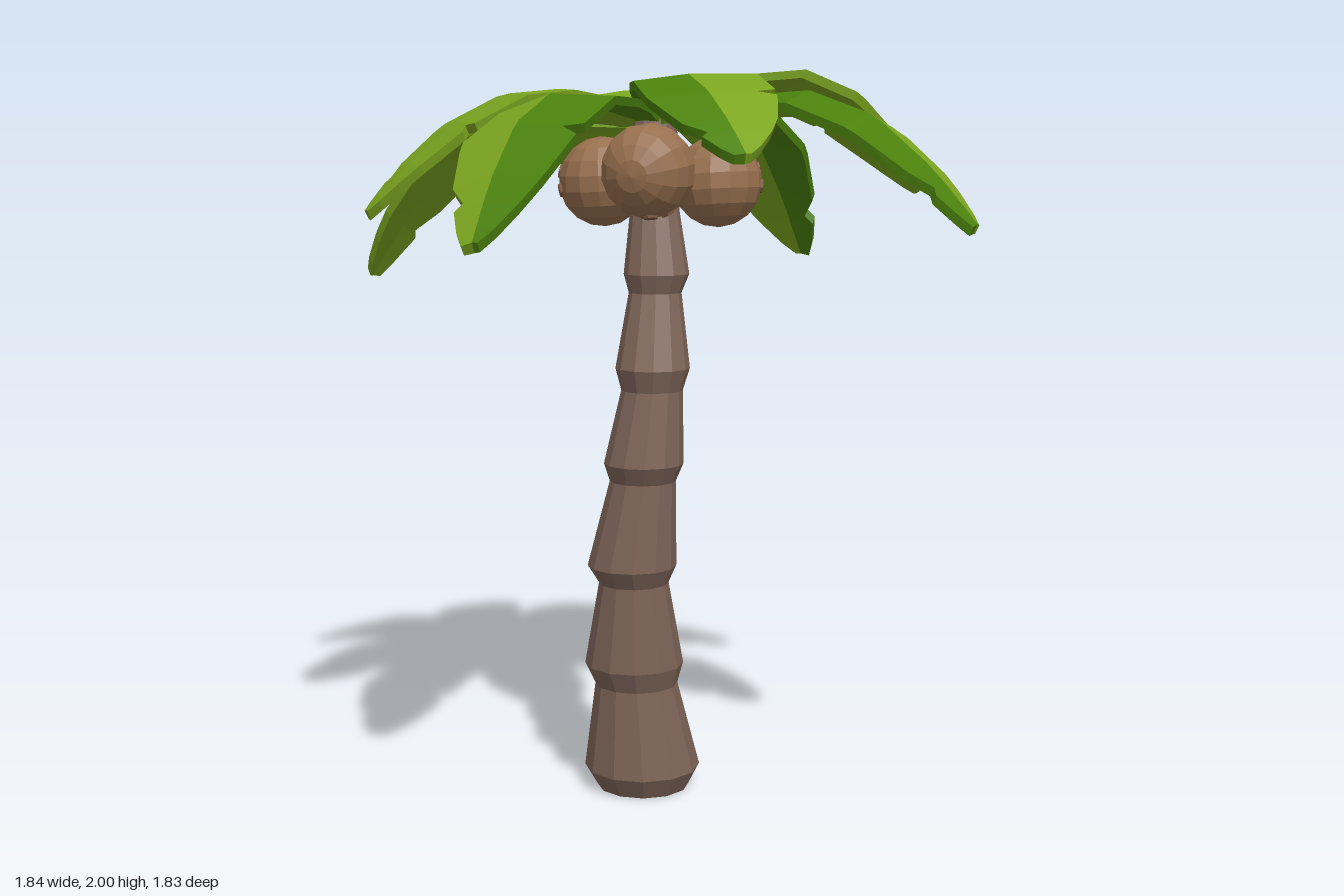
import * as THREE from 'three';

const mat = (name, color) => {
  const m = new THREE.MeshStandardMaterial({ color, flatShading: true });
  m.name = name;
  return m;
};

// Leaf outline: [fraction of length, left half-width, right half-width]; the left edge has torn notches
const OUTLINE = [
  [0, 0.04, 0.04], [0.1, 0.07, 0.06], [0.2, 0.12, 0.09], [0.33, 0.165, 0.125], [0.5, 0.19, 0.15],
  [0.68, 0.185, 0.16], [0.695, 0.13, 0.158], [0.72, 0.178, 0.153], [0.85, 0.135, 0.115],
  [0.9, 0.105, 0.065], [0.915, 0.095, 0.085], [0.97, 0.05, 0.055], [1, 0.015, 0.03],
];

// Height along a leaf: rises to the peak at the crest, then falls to the tip
function leafHeight(f, peak, tip, crest) {
  const base = 1.87;
  if (f < crest) {
    const k = 1 - f / crest;
    return base + (peak - base) * (1 - k * k);
  }
  return peak + (tip - peak) * Math.pow((f - crest) / (1 - crest), 1.7);
}

// One half of a leaf as a thin closed shell; side = 1 is right, -1 is left.
// fold lowers both edges, roll lowers the right edge and lifts the left,
// bow and tipShift move the midrib sideways
function leafHalf(side, { length, width = 1, peak, tip, crest, fold, roll = 0, bow = 0, tipShift = 0 }) {
  const pos = [];
  const quad = (a, b, c, d) => {
    const q = side > 0 ? [a, b, c, d] : [a, d, c, b];
    for (const i of [0, 1, 2, 0, 2, 3]) pos.push(...q[i]);
  };
  const rows = OUTLINE.map(([f, l, r]) => {
    const w = (side > 0 ? r : l) * width;
    const u = f * length;
    const y = leafHeight(f, peak, tip, crest);
    const mid = bow * Math.sin(Math.PI * f) + tipShift * f * f;
    const drop = w * (fold + side * roll);
    return {
      ridge: [u, y, mid], edge: [u, y - drop, mid + side * w],
      ridgeLow: [u - 0.01, y - 0.025, mid], edgeLow: [u - 0.01, y - drop - 0.022, mid + side * w * 0.97],
    };
  });
  for (let i = 0; i < rows.length - 1; i++) {
    const a = rows[i], b = rows[i + 1];
    quad(a.ridge, a.edge, b.edge, b.ridge);
    quad(a.ridgeLow, b.ridgeLow, b.edgeLow, a.edgeLow);
    quad(a.edge, a.edgeLow, b.edgeLow, b.edge);
  }
  const s = rows[0], e = rows[rows.length - 1];
  quad(s.ridge, s.ridgeLow, s.edgeLow, s.edge);
  quad(e.ridge, e.edge, e.edgeLow, e.ridgeLow);
  const g = new THREE.BufferGeometry();
  g.setAttribute('position', new THREE.Float32BufferAttribute(pos, 3));
  g.computeVertexNormals();
  return g;
}

// Trunk rings from the ground up: [y, centre x, centre z, radius]
const RINGS = [
  [0, -0.03, 0.005, 0.13], [0.06, -0.03, 0.01, 0.162],
  [0.31, -0.027, 0.048, 0.115], [0.37, -0.03, 0.055, 0.137],
  [0.61, -0.01, 0.092, 0.096], [0.66, -0.012, 0.098, 0.122],
  [0.9, 0.025, 0.103, 0.09], [0.95, 0.032, 0.11, 0.108],
  [1.15, 0.052, 0.1, 0.083], [1.21, 0.055, 0.102, 0.1],
  [1.41, 0.045, 0.07, 0.071], [1.46, 0.048, 0.068, 0.088],
  [1.63, 0.03, 0.045, 0.066], [1.87, 0.01, 0.01, 0.06],
];

function trunkGeometry() {
  const n = RINGS.length - 1;
  const g = new THREE.CylinderGeometry(1, 1, 1, 12, n);
  const p = g.attributes.position;
  for (let i = 0; i < p.count; i++) {
    const [y, cx, cz, r] = RINGS[Math.round((p.getY(i) + 0.5) * n)];
    p.setXYZ(i, cx + p.getX(i) * r, y, cz + p.getZ(i) * r);
  }
  g.computeVertexNormals();
  return g;
}

export function createModel() {
  const model = new THREE.Group();
  model.name = 'palmTree';
  const bark = mat('bark', 0x80665a);
  const shell = mat('coconutShell', 0x98704f);
  const eyeMat = mat('coconutEyes', 0x7f5c42);
  const light = mat('lightLeaf', 0x7ba520);
  const dark = mat('darkLeaf', 0x4b810d);

  const add = (parent, name, geometry, material) => {
    const mesh = new THREE.Mesh(geometry, material);
    mesh.name = name;
    parent.add(mesh);
    return mesh;
  };

  add(model, 'trunk', trunkGeometry(), bark);

  // Four long folded leaves and four shorter, flatter ones between them
  const leaves = [
    { angle: 0, length: 0.92, peak: 1.94, tip: 1.61, crest: 0.5, fold: 0.22, tipShift: 0.01, left: light, right: dark },
    { angle: 42, length: 0.765, width: 0.97, peak: 1.98, tip: 1.69, crest: 0.47, fold: 0.06, roll: -0.2, left: light, right: light },
    { angle: 90, length: 0.915, peak: 1.94, tip: 1.485, crest: 0.48, fold: 0.3, bow: -0.01, tipShift: 0.03, left: light, right: dark },
    { angle: 133, length: 0.765, width: 0.95, peak: 1.955, tip: 1.67, crest: 0.43, fold: 0.06, roll: -0.1, bow: -0.025, tipShift: 0.01, left: light, right: light },
    { angle: 180, length: 0.92, peak: 1.915, tip: 1.445, crest: 0.48, fold: 0.25, bow: 0.04, tipShift: -0.05, left: light, right: light },
    { angle: 228, length: 0.78, width: 0.95, peak: 1.95, tip: 1.635, crest: 0.4, fold: 0.04, bow: 0.02, left: light, right: light },
    { angle: 270, length: 0.91, peak: 1.93, tip: 1.585, crest: 0.48, fold: 0.18, roll: 0.14, bow: 0.05, tipShift: -0.03, left: dark, right: light },
    { angle: 315, length: 0.77, width: 0.95, peak: 1.98, tip: 1.785, crest: 0.45, fold: 0.06, roll: 0.07, bow: 0.02, left: light, right: dark },
  ];
  for (const spec of leaves) {
    const leaf = new THREE.Group();
    leaf.name = 'leaf';
    leaf.rotation.y = THREE.MathUtils.degToRad(spec.angle);
    add(leaf, 'leafLeftHalf', leafHalf(-1, spec), spec.left);
    add(leaf, 'leafRightHalf', leafHalf(1, spec), spec.right);
    model.add(leaf);
  }

  // Coconuts: [position, direction of the three eyes]
  const coconuts = [
    [[-0.185, 1.7, -0.05], [-0.9, -0.05, 0.4]],
    [[0.115, 1.7, -0.157], [0.72, 0.03, -0.7]],
    [[0.09, 1.735, 0.19], [0.12, -0.97, -0.12]],
  ];
  for (const [position, dir] of coconuts) {
    const coconut = new THREE.Group();
    coconut.name = 'coconut';
    coconut.position.set(...position);
    coconut.quaternion.setFromUnitVectors(
      new THREE.Vector3(0, 0, 1), new THREE.Vector3(...dir).normalize());
    add(coconut, 'coconutShell', new THREE.SphereGeometry(0.124, 14, 9), shell);
    for (let i = 0; i < 3; i++) {
      const a = (i * Math.PI * 2) / 3 + Math.PI / 2;
      const d = new THREE.Vector3(Math.cos(a) * 0.28, Math.sin(a) * 0.28, 0.95).normalize();
      const eye = add(coconut, 'coconutEye', new THREE.CylinderGeometry(0.019, 0.021, 0.009, 8), eyeMat);
      eye.position.copy(d).multiplyScalar(0.121);
      eye.quaternion.setFromUnitVectors(new THREE.Vector3(0, 1, 0), d);
    }
    model.add(coconut);
  }
  return model;
}
